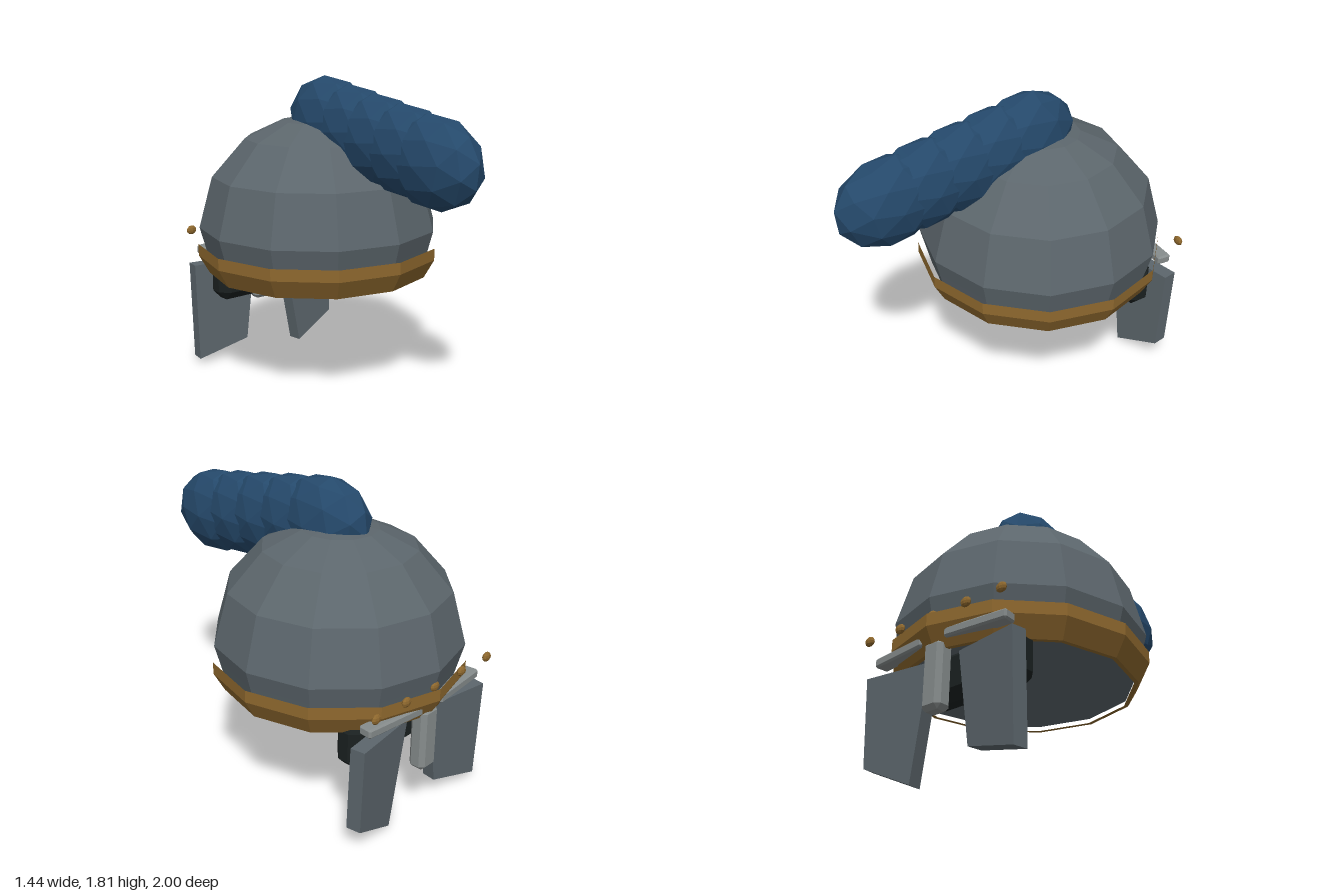
import * as THREE from 'three';
import { ConvexGeometry } from 'three/addons/geometries/ConvexGeometry.js';

const mat = (color) => new THREE.MeshStandardMaterial({ color, flatShading: true });

const steel = mat(0x5c666c);
const lightSteel = mat(0x868c8c);
const brass = mat(0x8e682e);
const black = mat(0x1a2020);
const blue = mat(0x25496b);

// Box with chamfered edges, given by its half sizes
function chamferBox(hx, hy, hz, c) {
  const pts = [];
  for (const sx of [-1, 1]) for (const sy of [-1, 1]) for (const sz of [-1, 1]) {
    pts.push(
      new THREE.Vector3(sx * hx, sy * (hy - c), sz * (hz - c)),
      new THREE.Vector3(sx * (hx - c), sy * hy, sz * (hz - c)),
      new THREE.Vector3(sx * (hx - c), sy * (hy - c), sz * hz));
  }
  return new ConvexGeometry(pts);
}

// Cheek plate from its x, y corners, lying in a slightly turned and leaning plane
function cheekPlate(side, corners) {
  return new ConvexGeometry(corners.flatMap(([x, y]) => {
    const z = -0.845 + 0.14 * (0.53 - x) + 0.04 * (0.635 - y);
    return [new THREE.Vector3(side * x, y, z), new THREE.Vector3(side * (x - 0.012), y, z - 0.085)];
  }));
}

function lathe(profile) {
  return new THREE.LatheGeometry(profile.map(([r, y]) => new THREE.Vector2(r, y)), 12);
}

export function createModel() {
  const group = new THREE.Group();
  const add = (name, geometry, material, x = 0, y = 0, z = 0) => {
    const mesh = new THREE.Mesh(geometry, material);
    mesh.name = name;
    mesh.position.set(x, y, z);
    group.add(mesh);
    return mesh;
  };

  // Faceted dome with a closed base, and the brass band around its rim
  const axisZ = -0.28;
  add('dome', lathe([[0, 0.68], [0.645, 0.68], [0.685, 0.83], [0.712, 0.93], [0.63, 1.23],
    [0.435, 1.45], [0.22, 1.55], [0, 1.58]]), steel, 0, 0, axisZ);
  add('brimBand', lathe([[0.635, 0.65], [0.66, 0.65], [0.722, 0.76], [0.722, 0.83]]),
    brass, 0, 0, axisZ);

  // Plume: a row of overlapping tilted tufts
  const tuftGeometry = new THREE.IcosahedronGeometry(1, 1).rotateX(-0.28);
  for (let i = 0; i < 5; i++) {
    const tuft = add('plumeTuft' + (i + 1), tuftGeometry, blue,
      0, 1.56 - 0.035 * i, -0.16 + 0.2125 * i);
    tuft.scale.set(0.178, 0.255, 0.318);
    tuft.rotation.x = 0.13;
  }

  // Dark visor block, nose bar and brow bars
  add('visor', chamferBox(0.455, 0.14, 0.087, 0.055), black, 0, 0.565, -0.733);
  add('noseBar', chamferBox(0.065, 0.19, 0.052, 0.025), lightSteel, 0, 0.51, -0.908);
  for (const s of [-1, 1]) {
    const bar = add(s > 0 ? 'leftBrowBar' : 'rightBrowBar',
      chamferBox(0.195, 0.027, 0.042, 0.01), lightSteel, s * 0.27, 0.717, -0.9);
    bar.rotation.y = -s * 0.1;
  }

  // Cheek plates, cut differently on the two sides
  add('leftCheekPlate',
    cheekPlate(1, [[0.525, 0.635], [0.52, 0.135], [0.22, 0], [0.11, 0.635]]), steel);
  add('rightCheekPlate',
    cheekPlate(-1, [[0.53, 0.635], [0.53, 0.03], [0.2, 0.11], [0.125, 0.635]]), steel);

  // Row of brass studs
  for (let i = -2; i <= 2; i++) {
    const stud = add('stud' + (i + 3), new THREE.SphereGeometry(1, 8, 6), brass,
      i * 0.237, 0.833, -0.964);
    stud.scale.set(0.034, 0.028, 0.018);
  }

  return group;
}
